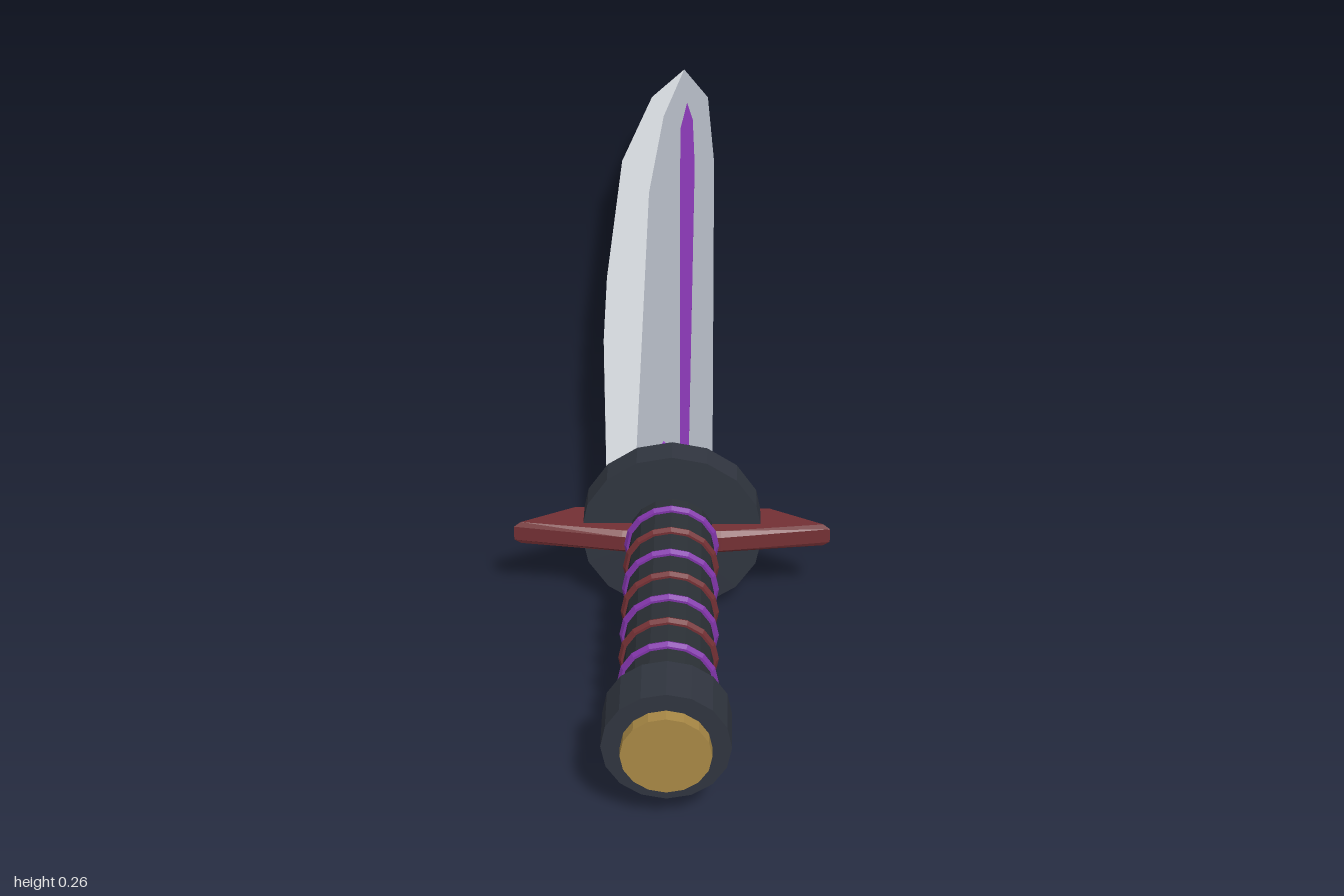
import * as THREE from 'three';

const CY = 0.129; // height of the long axis

const mat = (color) => new THREE.MeshStandardMaterial({ color, flatShading: true });
const dark = mat(0x30353f), grip = mat(0x2b3036), red = mat(0x733034), gold = mat(0xa88845);
const purple = mat(0x8034a8), violet = mat(0x9a40cc), steel = mat(0xa6abb5), bright = mat(0xd0d4d8);

export function createModel() {
  const group = new THREE.Group();

  const add = (name, geometry, material) => {
    const mesh = new THREE.Mesh(geometry, material);
    mesh.name = name;
    mesh.position.y = CY;
    group.add(mesh);
    return mesh;
  };

  // Plate from an outline of [x, z] points, centred on the axis height
  const plate = (name, points, thickness, material, bevel = 0) => {
    const shape = new THREE.Shape(points.map(([x, z]) => new THREE.Vector2(x, -z)));
    const g = new THREE.ExtrudeGeometry(shape, {
      depth: thickness - 2 * bevel, bevelEnabled: bevel > 0, bevelSegments: 1,
      bevelSize: bevel, bevelThickness: bevel, bevelOffset: -bevel,
    });
    g.translate(0, 0, bevel - thickness / 2).rotateX(-Math.PI / 2);
    return add(name, g, material);
  };

  // Cylinder along z between two positions
  const drum = (name, radius, z0, z1, material) => {
    const g = new THREE.CylinderGeometry(radius, radius, z1 - z0, 16);
    g.rotateX(Math.PI / 2).translate(0, 0, (z0 + z1) / 2);
    return add(name, g, material);
  };

  // Blade: straight-backed body and a brighter curved cutting edge
  const seam = [[-0.055, 0.425], [-0.055, -0.5], [-0.035, -0.8], [0, -1]];
  plate('bladeBody', [
    [0.057, 0.47], [0.057, -0.62], [0.045, -0.88], ...seam.slice().reverse(),
    [-0.08, 0.425], [-0.08, 0.47],
  ], 0.04, steel);
  plate('cuttingEdge', [
    ...seam, [-0.058, -0.88], [-0.105, -0.62], [-0.117, -0.2], [-0.115, 0], [-0.095, 0.425],
  ], 0.04, bright);

  // Inlaid strip and gem, showing on both faces
  plate('fullerInlay', [
    [0.01, 0.4], [0.022, 0.4], [0.023, -0.6], [0.018, -0.78], [0.007, -0.85],
    [-0.004, -0.74], [0.001, -0.3],
  ], 0.047, purple);
  plate('gem', [
    [-0.015, 0.3], [-0.005, 0.322], [0.009, 0.335], [0.009, 0.358], [-0.005, 0.368],
    [-0.015, 0.39], [-0.025, 0.368], [-0.04, 0.358], [-0.04, 0.335], [-0.025, 0.322],
  ], 0.05, violet);

  // Guard disc with a pointed crossguard through it
  drum('guardDisc', 0.129, 0.465, 0.505, dark);
  plate('crossguard', [
    [-0.224, 0.506], [-0.14, 0.458], [0.14, 0.458], [0.224, 0.506], [0.07, 0.53], [-0.07, 0.53],
  ], 0.036, red, 0.007);

  // Grip wrapped with alternating rings
  drum('grip', 0.06, 0.5, 0.92, grip);
  for (let i = 0; i < 8; i++) {
    const ring = new THREE.TorusGeometry(0.06, 0.007, 6, 16);
    ring.translate(0, 0, 0.533 + i * 0.0525);
    add('gripRing', ring, i % 2 ? red : purple);
  }

  // Pommel with end cap
  drum('pommel', 0.084, 0.912, 0.982, dark);
  drum('pommelCap', 0.059, 0.97, 1, gold);

  return group;
}
